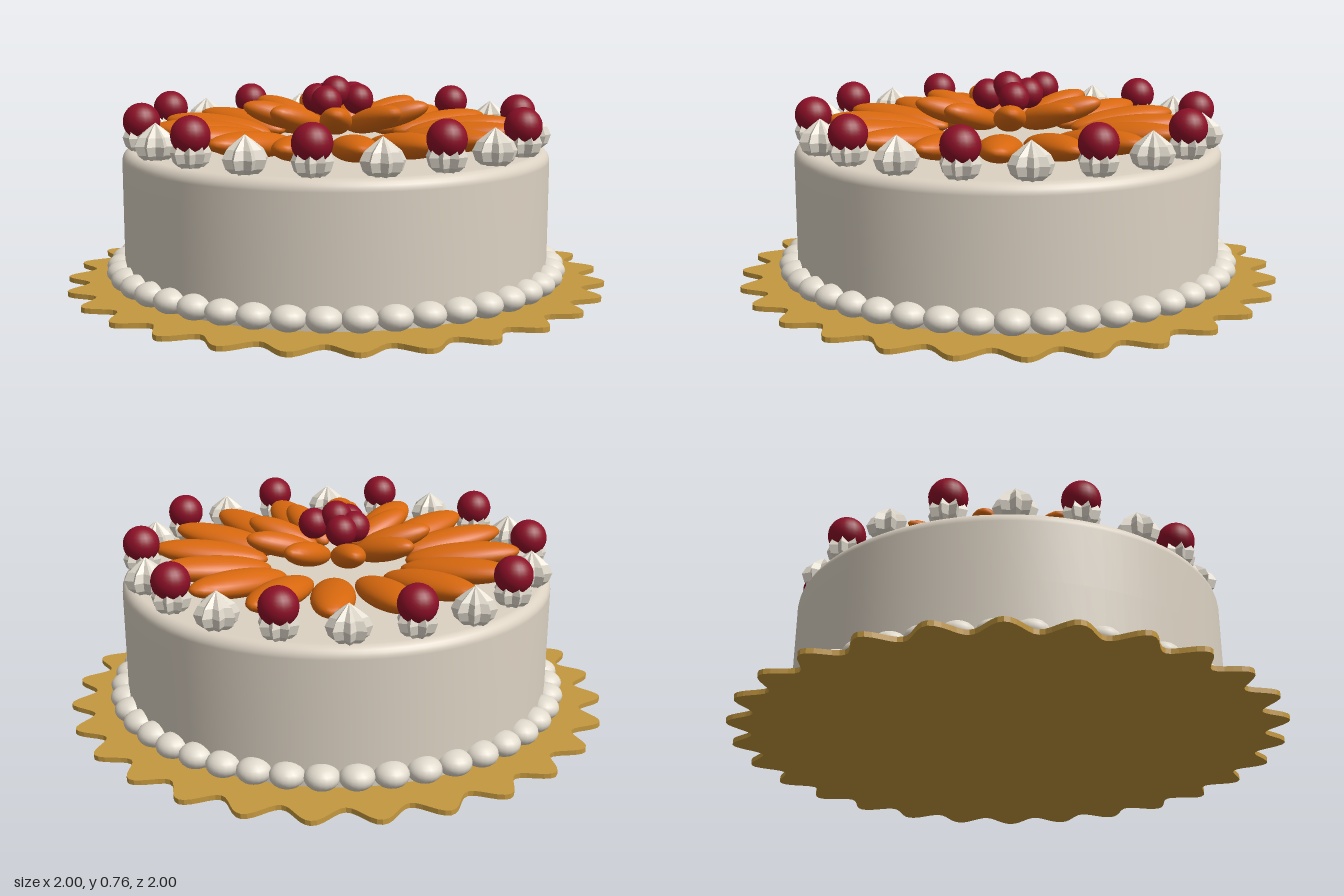
import * as THREE from 'three';

const material = (name, color, extra = {}) => {
  const m = new THREE.MeshStandardMaterial({ color, ...extra });
  m.name = name;
  return m;
};

export function createModel() {
  const gold = material('goldBoard', 0xc4983f);
  const icing = material('icing', 0xdcd2c3);
  const piping = material('pipedCream', 0xe0d9cc);
  const orange = material('orangeFruit', 0xd8680e);
  const red = material('redBerry', 0x8c0f27);

  const cake = new THREE.Group();
  cake.name = 'cake';

  const add = (name, geometry, mat, parent = cake) => {
    const mesh = new THREE.Mesh(geometry, mat);
    mesh.name = name;
    parent.add(mesh);
    return mesh;
  };

  // Places count copies on a circle; the first sits at angle start from +x
  const ring = (name, count, start, radius, y, geometry, mat, tilt = 0) => {
    const group = new THREE.Group();
    group.name = name + 'Ring';
    for (let i = 0; i < count; i++) {
      const a = start + (i / count) * Math.PI * 2;
      const mesh = add(name, geometry, mat, group);
      mesh.position.set(Math.cos(a) * radius, y, -Math.sin(a) * radius);
      mesh.rotation.set(0, a, tilt);
    }
    cake.add(group);
  };

  // Scalloped board with 28 lobes
  const outline = [];
  for (let i = 0; i < 336; i++) {
    const a = (i / 336) * Math.PI * 2;
    const r = 0.958 + 0.042 * Math.cos(28 * a);
    outline.push(new THREE.Vector2(Math.cos(a) * r, Math.sin(a) * r));
  }
  const board = new THREE.ExtrudeGeometry(new THREE.Shape(outline), { depth: 0.018, bevelEnabled: false });
  board.rotateX(-Math.PI / 2);
  add('board', board, gold);

  // Iced body with a rounded top edge
  const R = 0.787, top = 0.505, bevel = 0.04;
  const profile = [new THREE.Vector2(R, 0.018), new THREE.Vector2(R, 0.25)];
  for (let i = 0; i <= 6; i++) {
    const a = (i / 6) * Math.PI / 2;
    profile.push(new THREE.Vector2(R - bevel + Math.cos(a) * bevel, top - bevel + Math.sin(a) * bevel));
  }
  profile.push(new THREE.Vector2(0.7, top), new THREE.Vector2(0, top));
  add('body', new THREE.LatheGeometry(profile, 72), icing);

  // Bead border at the base
  const bead = new THREE.SphereGeometry(1, 18, 12).scale(0.06, 0.043, 0.06);
  ring('borderBead', 44, 0, 0.796, 0.061, bead, piping);

  // Eight-pointed piped rosette: every second column of the lathe is pulled in
  const rosettePoints = [
    [0.044, 0], [0.066, 0.018], [0.077, 0.05], [0.062, 0.08], [0.03, 0.106], [0, 0.128],
  ].map(([x, y]) => new THREE.Vector2(x, y));
  const star = new THREE.LatheGeometry(rosettePoints, 16);
  const pos = star.attributes.position;
  for (let i = 0; i < pos.count; i++) {
    if (Math.floor(i / rosettePoints.length) % 2) {
      pos.setX(i, pos.getX(i) * 0.7);
      pos.setZ(i, pos.getZ(i) * 0.7);
    }
  }
  const rosette = star.toNonIndexed();
  rosette.computeVertexNormals();
  const smallRosette = rosette.clone().scale(0.9, 1, 0.9);
  ring('rosette', 10, 0, 0.715, top - 0.002, rosette, piping);
  ring('berryRosette', 10, Math.PI / 10, 0.715, top - 0.002, smallRosette, piping);

  // Berries on every second rosette
  ring('rimBerry', 10, Math.PI / 10, 0.715, 0.61, new THREE.SphereGeometry(0.067, 22, 16), red);

  // Two rings of fruit slices, tips lifted outward
  const slice = (length, height, width) => new THREE.SphereGeometry(1, 24, 16).scale(length, height, width);
  ring('outerSlice', 16, 0, 0.465, 0.557, slice(0.212, 0.046, 0.077), orange, 0.1);
  ring('innerSlice', 9, 0, 0.21, 0.618, slice(0.14, 0.044, 0.058), orange, 0.28);

  // Berry cluster in the middle
  const cluster = new THREE.Group();
  cluster.name = 'berryCluster';
  const small = new THREE.SphereGeometry(0.057, 20, 14);
  const spots = [
    [0, 0.705, 0], [0.016, 0.675, -0.088], [0.074, 0.675, 0.037],
    [-0.064, 0.675, 0.043], [-0.048, 0.675, -0.055],
  ];
  for (const spot of spots) add('centreBerry', small, red, cluster).position.set(...spot);
  cake.add(cluster);

  return cake;
}
